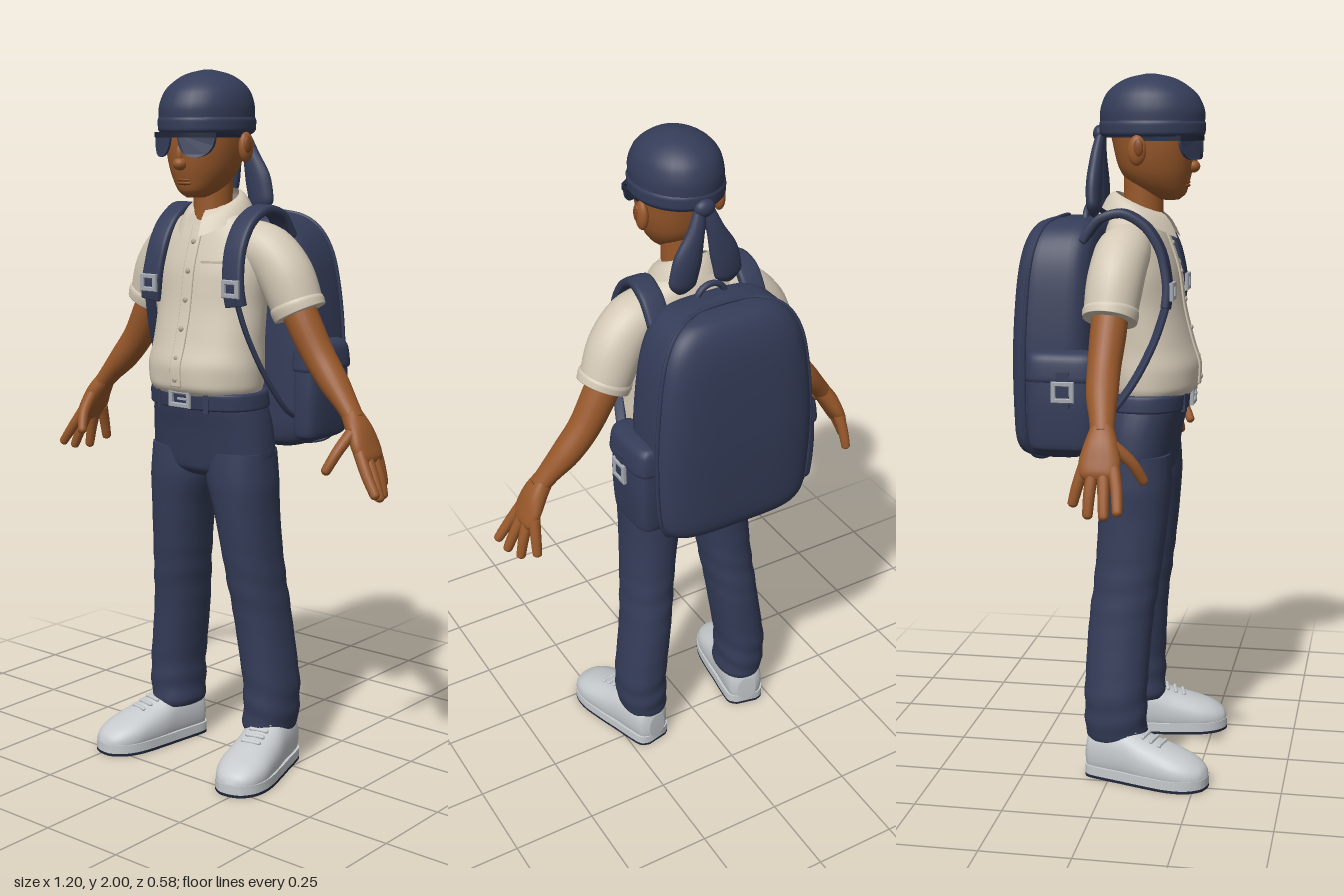
import * as THREE from 'three';
import { toCreasedNormals } from 'three/addons/utils/BufferGeometryUtils.js';

const mat = (name, color, side = THREE.FrontSide) => {
  const m = new THREE.MeshStandardMaterial({ color, side });
  m.name = name;
  return m;
};

// Monotone cubic between b and c
function ease(a, b, c, d, t) {
  const lim = (p, q) => (p * q <= 0 ? 0 : (2 * p * q) / (p + q));
  const m0 = lim(b - a, c - b), m1 = lim(c - b, d - c), t2 = t * t, t3 = t2 * t;
  return (2 * t3 - 3 * t2 + 1) * b + (t3 - 2 * t2 + t) * m0 + (3 * t2 - 2 * t3) * c + (t3 - t2) * m1;
}

// Skin over superellipse rings; each row is [x, y, z, radius along ref, other radius].
// axis fixes the ring normal; axis null makes rings follow the path.
function loft(rows, { ref = [1, 0, 0], axis = [0, 1, 0], pow = 2, seg = 28, sub = 5, bump = null } = {}) {
  const rings = [];
  const row = (i) => rows[Math.max(0, Math.min(rows.length - 1, i))];
  for (let i = 0; i < rows.length - 1; i++)
    for (let k = 0; k < sub; k++)
      rings.push(row(i).map((_, c) => ease(row(i - 1)[c], row(i)[c], row(i + 1)[c], row(i + 2)[c], k / sub)));
  rings.push(row(rows.length));
  const centers = rings.map((r) => new THREE.Vector3(r[0], r[1], r[2]));
  const pos = [], idx = [], n = rings.length;
  rings.forEach((r, i) => {
    const t = axis ? new THREE.Vector3(...axis)
      : centers[Math.min(i + 1, n - 1)].clone().sub(centers[Math.max(i - 1, 0)]).normalize();
    const u = new THREE.Vector3(...ref);
    u.addScaledVector(t, -u.dot(t)).normalize();
    const v = t.clone().cross(u);
    for (let j = 0; j < seg; j++) {
      const a = (j / seg) * Math.PI * 2, c = Math.cos(a), s = Math.sin(a);
      const f = bump ? bump(a, r[1]) : 1;
      const p = centers[i].clone()
        .addScaledVector(u, Math.sign(c) * Math.abs(c) ** (2 / pow) * r[3] * f)
        .addScaledVector(v, Math.sign(s) * Math.abs(s) ** (2 / pow) * r[4] * f);
      pos.push(p.x, p.y, p.z);
      if (i < n - 1) {
        const A = i * seg + j, B = i * seg + ((j + 1) % seg);
        idx.push(A, B, B + seg, A, B + seg, A + seg);
      }
    }
  });
  pos.push(...centers[0].toArray(), ...centers[n - 1].toArray());
  for (let j = 0; j < seg; j++) {
    const k = (j + 1) % seg, e = (n - 1) * seg;
    idx.push(n * seg, k, j, n * seg + 1, e + j, e + k);
  }
  const g = new THREE.BufferGeometry();
  g.setAttribute('position', new THREE.Float32BufferAttribute(pos, 3));
  g.setIndex(idx);
  g.computeVertexNormals();
  return g;
}
const sweep = (rows, o = {}) => loft(rows, { axis: null, seg: 16, ...o });
const strap = (pts, w, t, ref = [1, 0, 0]) => sweep(pts.map((p) => [...p, w, t]), { ref, pow: 4 });
const blob = (x, y, z, a, b, c) => new THREE.SphereGeometry(1, 20, 14).scale(a, b, c).translate(x, y, z);

// Mirror across x, keeping faces outward
function mirror(geo) {
  const g = geo.index ? geo.toNonIndexed() : geo.clone();
  g.scale(-1, 1, 1);
  for (const a of Object.values(g.attributes))
    for (let i = 0; i < a.count; i += 3)
      for (let k = 0; k < a.itemSize; k++) {
        const q = a.getComponent(i + 1, k);
        a.setComponent(i + 1, k, a.getComponent(i + 2, k));
        a.setComponent(i + 2, k, q);
      }
  return g;
}

// Rectangular buckle frame with a centre bar
function buckle(w, h) {
  const rect = (P, a, b) => new P([[-a, -b], [a, -b], [a, b], [-a, b]].map((p) => new THREE.Vector2(...p)));
  const s = rect(THREE.Shape, w / 2, h / 2);
  s.holes.push(rect(THREE.Path, w / 2 - 0.009, h / 2 - 0.009));
  return new THREE.ExtrudeGeometry(s, { depth: 0.008, bevelEnabled: true, bevelSize: 0.002, bevelThickness: 0.002, bevelSegments: 1 });
}

// Shirt body rows and its surface depth at a point
const TORSO = [[0, 1.1, 0.085, 0.165, 0.115], [0, 1.13, 0.09, 0.178, 0.133], [0, 1.18, 0.09, 0.18, 0.135],
  [0, 1.25, 0.08, 0.175, 0.125], [0, 1.35, 0.065, 0.175, 0.115], [0, 1.45, 0.055, 0.185, 0.11],
  [0, 1.53, 0.045, 0.175, 0.095], [0, 1.58, 0.04, 0.14, 0.08], [0, 1.61, 0.042, 0.09, 0.068], [0, 1.63, 0.045, 0.06, 0.058]];
function chest(x, y) {
  const i = Math.max(1, TORSO.findIndex((r) => r[1] >= y)), a = TORSO[i - 1], b = TORSO[i];
  const [, , z, rx, rz] = a.map((v, k) => v + ((b[k] - v) * (y - a[1])) / (b[1] - a[1]));
  return z + rz * Math.sqrt(Math.max(0, 1 - (x / rx) ** 2));
}

export function createModel() {
  const root = new THREE.Group();
  const navy = mat('navy cloth', 0x343c58), shirt = mat('cream cloth', 0xd4c9b6, THREE.DoubleSide);
  const skin = mat('brown skin', 0x98582a), lip = mat('lips', 0x854821), white = mat('pale shoe', 0xc6cacd);
  const metal = mat('metal', 0xa6abb2), dark = mat('dark rubber', 0x20263a), button = mat('button', 0xb3a791);
  const add = (name, geo, m) => {
    const mesh = new THREE.Mesh(geo, m);
    mesh.name = name;
    root.add(mesh);
  };
  const both = (name, geo, m) => {
    add(name + 'Left', geo, m);
    add(name + 'Right', mirror(geo), m);
  };

  // Head and face
  add('head', loft([[0, 1.652, 0.135, 0.025, 0.025], [0, 1.668, 0.122, 0.05, 0.058], [0, 1.7, 0.105, 0.076, 0.085],
    [0, 1.74, 0.095, 0.094, 0.104], [0, 1.8, 0.09, 0.106, 0.115], [0, 1.86, 0.085, 0.11, 0.12], [0, 1.92, 0.085, 0.1, 0.11]], { pow: 2.15 }), skin);
  add('neck', loft([[0, 1.56, 0.07, 0.05, 0.05], [0, 1.62, 0.06, 0.054, 0.056], [0, 1.74, 0.06, 0.055, 0.056]]), skin);
  add('nose', blob(0, 1.745, 0.2, 0.02, 0.018, 0.021), skin);
  add('noseBridge', blob(0, 1.77, 0.2, 0.011, 0.03, 0.013), skin);
  for (const y of [1.701, 1.692]) add('lip', blob(0, y, 0.182, 0.027, 0.006, 0.011), lip);
  both('ear', blob(0.118, 1.79, 0.06, 0.016, 0.042, 0.026).rotateZ(0), skin);
  both('earHollow', blob(0.13, 1.797, 0.066, 0.007, 0.024, 0.014), lip);

  // Head scarf with band, knot and tails
  add('scarf', loft([[0, 1.825, 0.085, 0.117, 0.138], [0, 1.85, 0.085, 0.123, 0.147], [0, 1.89, 0.085, 0.123, 0.149],
    [0, 1.935, 0.083, 0.113, 0.135], [0, 1.97, 0.08, 0.085, 0.1], [0, 1.99, 0.08, 0.05, 0.06], [0, 2, 0.08, 0.01, 0.012]]), navy);
  add('scarfBand', loft([[0, 1.828, 0.085, 0.119, 0.143], [0, 1.838, 0.085, 0.126, 0.15], [0, 1.862, 0.085, 0.127, 0.151], [0, 1.874, 0.085, 0.12, 0.145]]), navy);
  add('scarfKnot', blob(0, 1.835, -0.065, 0.03, 0.025, 0.02), navy);
  both('scarfTail', sweep([[0.008, 1.84, -0.06, 0.016, 0.012], [0.03, 1.77, -0.07, 0.026, 0.018], [0.058, 1.69, -0.072, 0.043, 0.022],
    [0.07, 1.635, -0.07, 0.042, 0.02], [0.075, 1.605, -0.068, 0.012, 0.006]]), navy);

  // Sunglasses, bent around the face
  const bend = (g) => {
    const p = g.attributes.position;
    for (let i = 0; i < p.count; i++) p.setZ(i, p.getZ(i) + 0.22 - 4 * p.getX(i) ** 2);
    g.computeVertexNormals();
    return g;
  };
  const lens = new THREE.Shape();
  lens.moveTo(0.012, 1.825);
  lens.lineTo(0.108, 1.828);
  lens.bezierCurveTo(0.11, 1.79, 0.095, 1.763, 0.062, 1.763);
  lens.bezierCurveTo(0.03, 1.763, 0.015, 1.785, 0.012, 1.825);
  both('lens', bend(new THREE.ExtrudeGeometry(lens, { depth: 0.008, bevelEnabled: false })), navy);
  add('glassesBar', bend(new THREE.BoxGeometry(0.224, 0.014, 0.014, 20).translate(0, 1.823, 0.004)), dark);
  both('glassesArm', new THREE.BoxGeometry(0.008, 0.012, 0.12).translate(0.111, 1.822, 0.115), dark);

  // Shirt
  add('shirtBody', loft(TORSO, { seg: 40, pow: 2.1, bump: (a, y) => 1 + 0.012 * Math.sin(6 * a + y * 30) * Math.max(0, 1.35 - y) * 4 }), shirt);
  both('sleeve', sweep([[0.09, 1.54, 0.035, 0.065, 0.055], [0.17, 1.505, 0.028, 0.078, 0.075], [0.228, 1.44, 0.02, 0.078, 0.08],
    [0.262, 1.365, 0.014, 0.074, 0.074], [0.274, 1.34, 0.013, 0.07, 0.071]], { ref: [0, 0, 1], seg: 28 }), shirt);
  both('sleeveHem', sweep([[0.262, 1.366, 0.014, 0.075, 0.075], [0.266, 1.357, 0.014, 0.078, 0.078], [0.275, 1.338, 0.013, 0.075, 0.076]], { ref: [0, 0, 1], seg: 28 }), shirt);
  const collar = new THREE.PlaneGeometry(1, 1, 36, 4), cp = collar.attributes.position;
  for (let i = 0; i < cp.count; i++) {
    const a = Math.PI + cp.getX(i) * 2 * (Math.PI - 0.3), v = 0.5 - cp.getY(i), f = Math.max(0, Math.cos(a)) ** 3;
    const r = 0.064 + 0.04 * v;
    cp.setXYZ(i, Math.sin(a) * r, 1.645 - 0.03 * Math.cos(a) + 0.012 * Math.sin(v * Math.PI) - v * (0.045 + 0.03 * f),
      0.045 + Math.cos(a) * (r + 0.012 * f + 0.01 * v * f));
  }
  collar.computeVertexNormals();
  add('collar', collar, shirt);
  add('placket', strap([1.13, 1.18, 1.25, 1.35, 1.45, 1.53, 1.57].map((y) => [0, y, chest(0, y)]), 0.019, 0.005), shirt);
  for (const y of [1.15, 1.21, 1.29, 1.37, 1.45, 1.53]) add('button', blob(0, y, chest(0, y) + 0.005, 0.008, 0.008, 0.005), button);
  const pocket = (w, h, x, y, d) => {
    const g = new THREE.BoxGeometry(w, h, 0.008, 6, 4, 1).translate(x, y, 0), p = g.attributes.position;
    for (let i = 0; i < p.count; i++) p.setZ(i, p.getZ(i) + chest(p.getX(i), p.getY(i)) + d);
    g.computeVertexNormals();
    return g;
  };
  add('chestPocket', pocket(0.068, 0.085, 0.074, 1.432, 0.001), shirt);
  add('pocketEdge', pocket(0.07, 0.006, 0.074, 1.476, 0.003), button);

  // Arms and hands
  both('arm', sweep([[0.24, 1.4, 0.015, 0.05, 0.05], [0.285, 1.315, 0.012, 0.05, 0.049], [0.338, 1.225, 0.01, 0.046, 0.045],
    [0.39, 1.16, 0.014, 0.044, 0.041], [0.445, 1.1, 0.024, 0.035, 0.03], [0.476, 1.063, 0.03, 0.031, 0.026]], { ref: [0, 0, 1], seg: 24 }), skin);
  both('palm', sweep([[0.462, 1.08, 0.028, 0.03, 0.026], [0.49, 1.04, 0.03, 0.045, 0.027], [0.513, 0.995, 0.03, 0.056, 0.023],
    [0.528, 0.965, 0.03, 0.052, 0.018], [0.533, 0.952, 0.03, 0.038, 0.01]], { ref: [0, 0, 1], pow: 2.4 }), skin);
  const fingers = {
    thumb: [[0.488, 1.035, 0.062], [0.475, 0.985, 0.112], [0.457, 0.935, 0.138]],
    indexFinger: [[0.518, 0.985, 0.068], [0.556, 0.925, 0.083], [0.588, 0.878, 0.09]],
    middleFinger: [[0.522, 0.975, 0.042], [0.555, 0.912, 0.048], [0.577, 0.862, 0.052]],
    ringFinger: [[0.522, 0.975, 0.014], [0.545, 0.912, 0.008], [0.557, 0.86, 0.006]],
    littleFinger: [[0.515, 0.985, -0.01], [0.522, 0.93, -0.028], [0.526, 0.883, -0.04]],
  };
  for (const [name, pts] of Object.entries(fingers)) {
    const [a, b, c] = pts, tip = c.map((v, i) => v + (v - b[i]) * 0.14);
    both(name, sweep([[...a, 0.017, 0.017], [...b, 0.0155, 0.0155], [...c, 0.013, 0.013], [...tip, 0.004, 0.004]], { ref: [0.3, 0, 1], seg: 12 }), skin);
  }

  // Trousers and belt
  add('hips', loft([[0, 0.862, 0.055, 0.1, 0.07], [0, 0.885, 0.055, 0.17, 0.098], [0, 0.93, 0.056, 0.202, 0.106],
    [0, 1, 0.062, 0.196, 0.112], [0, 1.06, 0.072, 0.184, 0.116], [0, 1.1, 0.08, 0.172, 0.112]], { pow: 2.3, seg: 40 }), navy);
  both('trouserLeg', loft([[0.178, 0.112, 0.014, 0.066, 0.084], [0.178, 0.13, 0.014, 0.072, 0.089], [0.182, 0.22, 0.012, 0.074, 0.09],
    [0.158, 0.42, 0.02, 0.074, 0.092], [0.137, 0.6, 0.04, 0.077, 0.095], [0.121, 0.75, 0.052, 0.085, 0.1],
    [0.106, 0.86, 0.056, 0.1, 0.104], [0.1, 0.94, 0.056, 0.1, 0.1]], {
    pow: 2.2, seg: 32, sub: 8,
    bump: (a, y) => 1 + 0.03 * Math.sin(y * 75 + 2 * Math.sin(a + 1)) * (Math.exp(-(((y - 0.2) / 0.09) ** 2)) + 0.7 * Math.exp(-(((y - 0.54) / 0.09) ** 2))),
  }), navy);
  add('belt', loft([[0, 1.064, 0.075, 0.181, 0.121], [0, 1.07, 0.075, 0.187, 0.126], [0, 1.108, 0.079, 0.183, 0.126], [0, 1.114, 0.079, 0.177, 0.121]], { pow: 2.3, seg: 40 }), navy);
  for (const s of [-1, 1]) add('beltLoop', new THREE.BoxGeometry(0.014, 0.062, 0.012).rotateY(s * 0.35).translate(s * 0.085, 1.09, 0.192), navy);
  add('beltBuckle', buckle(0.074, 0.048).translate(0, 1.095, 0.203), metal);
  add('beltPin', new THREE.BoxGeometry(0.036, 0.006, 0.006).translate(0.014, 1.095, 0.211), metal);

  // Shoes, toes turned out
  const place = (g) => g.rotateY(0.22).translate(0.183, 0, -0.002);
  const shoe = [[0, 0.06, -0.068, 0.03, 0.042], [0, 0.07, -0.05, 0.054, 0.076], [0, 0.075, 0, 0.062, 0.086], [0, 0.072, 0.06, 0.067, 0.082],
    [0, 0.058, 0.12, 0.073, 0.07], [0, 0.047, 0.2, 0.077, 0.054], [0, 0.038, 0.255, 0.064, 0.042], [0, 0.03, 0.288, 0.036, 0.026], [0, 0.026, 0.297, 0.01, 0.01]];
  const upper = loft(shoe, { axis: [0, 0, 1], pow: 2.3 }), up = upper.attributes.position;
  for (let i = 0; i < up.count; i++) up.setY(i, Math.max(0.012, up.getY(i)));
  upper.computeVertexNormals();
  both('shoe', place(upper), white);
  const side = (s) => shoe.map((r) => new THREE.Vector2(s * (r[3] + 0.003), r[2]));
  const outline = new THREE.Shape(new THREE.SplineCurve([...side(1), ...side(-1).reverse()]).getPoints(60));
  const slab = (h, top) => place(toCreasedNormals(new THREE.ExtrudeGeometry(outline, { depth: h, bevelEnabled: false }).rotateX(Math.PI / 2).translate(0, top, 0), 0.7));
  both('shoeRim', slab(0.026, 0.034), white);
  both('shoeSole', slab(0.008, 0.008), dark);
  for (const [z, y] of [[0.085, 0.143], [0.11, 0.132], [0.135, 0.123], [0.16, 0.114]])
    both('lace', place(new THREE.CapsuleGeometry(0.006, 0.05, 3, 8).rotateZ(Math.PI / 2).translate(0, y, z)), white);

  // Backpack with piping and side pockets
  const pack = [[0, 0.93, -0.16, 0.16, 0.075], [0, 0.948, -0.163, 0.21, 0.108], [0, 1, -0.166, 0.238, 0.122], [0, 1.2, -0.166, 0.25, 0.126],
    [0, 1.4, -0.162, 0.234, 0.121], [0, 1.5, -0.157, 0.212, 0.113], [0, 1.56, -0.15, 0.178, 0.1], [0, 1.59, -0.146, 0.135, 0.08], [0, 1.602, -0.145, 0.08, 0.05]];
  add('backpack', loft(pack, { pow: 4, seg: 48 }), navy);
  const edge = (s) => pack.map((r) => new THREE.Vector3(s * r[3] * 0.985, r[1], r[2] - 0.55 * r[4]));
  add('backpackPiping', new THREE.TubeGeometry(new THREE.CatmullRomCurve3([...edge(1), ...edge(-1).reverse()], true), 120, 0.006, 6, true), navy);
  both('sidePocket', loft([[0.24, 0.965, -0.125, 0.025, 0.07], [0.245, 0.98, -0.125, 0.04, 0.092], [0.248, 1.1, -0.125, 0.044, 0.098], [0.248, 1.22, -0.125, 0.036, 0.092]], { pow: 3.5 }), navy);
  both('pocketFlap', loft([[0.248, 1.165, -0.125, 0.046, 0.099], [0.248, 1.175, -0.125, 0.049, 0.102], [0.246, 1.225, -0.125, 0.044, 0.098],
    [0.242, 1.245, -0.125, 0.03, 0.085], [0.238, 1.25, -0.125, 0.012, 0.05]], { pow: 3.5 }), navy);
  both('pocketTab', new THREE.BoxGeometry(0.01, 0.1, 0.036).translate(0.294, 1.145, -0.115), navy);
  both('pocketBuckle', buckle(0.06, 0.055).rotateY(Math.PI / 2).translate(0.294, 1.14, -0.115), metal);

  // Shoulder straps, lower webbing and buckles
  both('shoulderStrap', strap([[0.15, 1.54, -0.085], [0.15, 1.605, -0.035], [0.146, 1.62, 0.02], [0.14, 1.585, 0.088], [0.142, 1.5, 0.138],
    [0.15, 1.41, 0.153], [0.156, 1.36, 0.148]], 0.034, 0.013), navy);
  both('lowerStrap', strap([[0.158, 1.39, 0.155], [0.17, 1.3, 0.13], [0.187, 1.2, 0.088], [0.2, 1.12, 0.04], [0.208, 1.05, -0.02], [0.205, 1.02, -0.08]], 0.015, 0.007, [0.75, 0, 0.65]), navy);
  both('strapBuckle', buckle(0.056, 0.046).translate(0.151, 1.408, 0.163), metal);
  add('carryHandle', new THREE.TorusGeometry(0.045, 0.009, 8, 20, Math.PI).translate(0, 1.585, -0.1), navy);
  return root;
}
